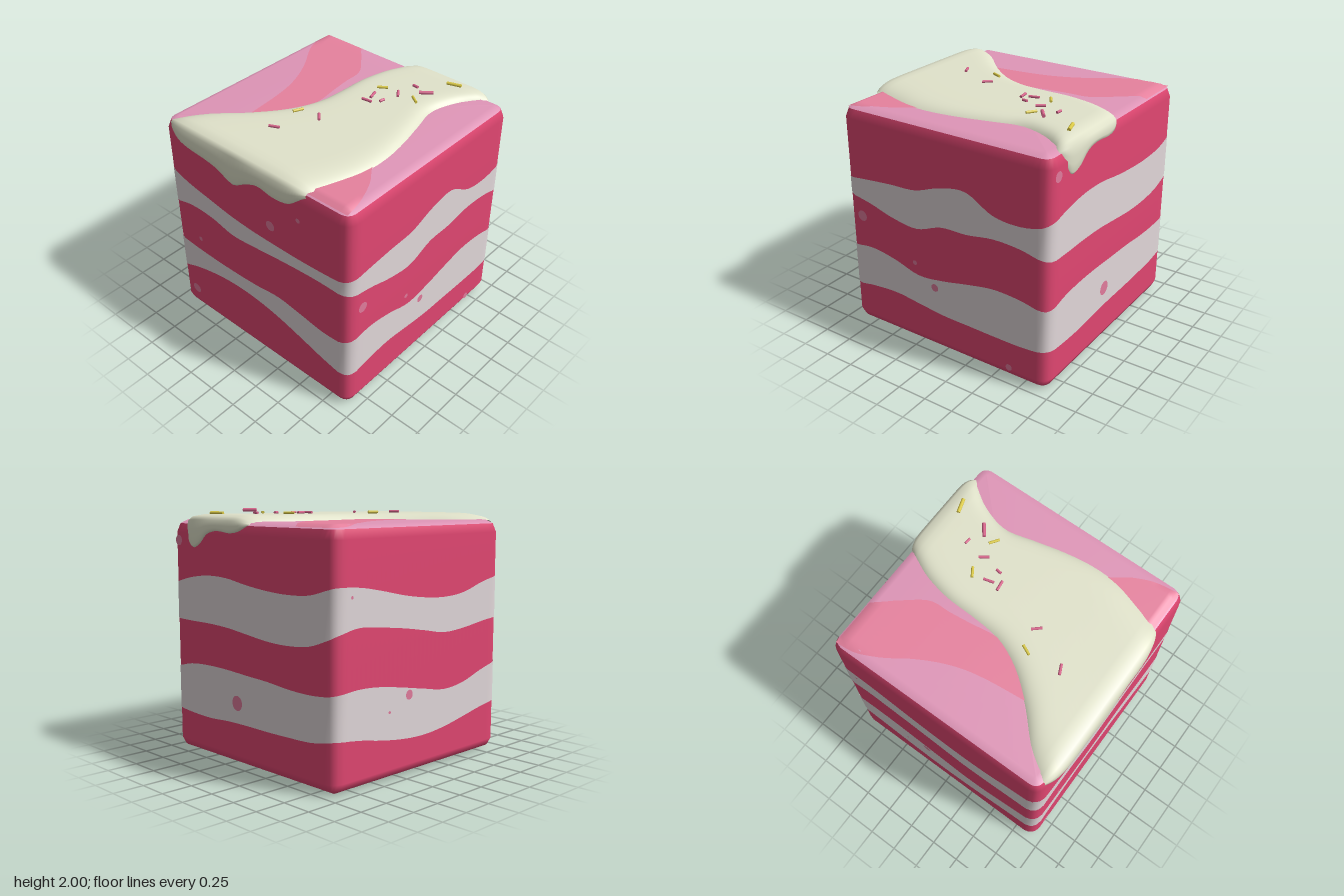
import * as THREE from 'three';
import { mergeVertices } from 'three/addons/utils/BufferGeometryUtils.js';

const H = 0.95, R = 0.1, N = 40; // half width, corner radius, samples per side

function material(name, color, side = THREE.FrontSide) {
  const m = new THREE.MeshStandardMaterial({ color, side });
  m.name = name;
  return m;
}

// Smooth function on 0..1 through evenly spaced values
function smooth(values) {
  const curve = new THREE.SplineCurve(values.map((v, i) => new THREE.Vector2(i, v)));
  return t => curve.getPoint(Math.min(1, Math.max(0, t))).y;
}

// Smooth surface from rows x cols of points; faces look along column x row
function grid(rows, cols, point) {
  const pos = [], index = [];
  for (let k = 0; k <= rows; k++) for (let i = 0; i <= cols; i++) {
    pos.push(...point(k, i));
    if (k < rows && i < cols) {
      const a = k * (cols + 1) + i, c = a + cols + 1;
      index.push(a, a + 1, c + 1, a, c + 1, c);
    }
  }
  let g = new THREE.BufferGeometry();
  g.setAttribute('position', new THREE.Float32BufferAttribute(pos, 3));
  g.setIndex(index);
  g = mergeVertices(g, 1e-5);
  g.computeVertexNormals();
  return g;
}

// Point on the rounded square outline, starting at the front -x corner
function outline(i, inset) {
  const face = Math.floor(i / N) % 4, u = ((i % N) / N * 2 - 1) * H;
  const [x, z] = [[u, H], [H, -u], [-u, -H], [-H, u]][face];
  const lim = H - R, cx = Math.max(-lim, Math.min(lim, x)), cz = Math.max(-lim, Math.min(lim, z));
  const l = Math.hypot(x - cx, z - cz), r = (R - inset) / l;
  return [cx + (x - cx) * r, cz + (z - cz) * r];
}

// Body rings from [inset, y]; a null inset is the centre
function loft(profile) {
  return grid(profile.length - 1, 4 * N, (k, i) => {
    const [inset, y] = profile[k];
    if (inset === null) return [0, y, 0];
    const [x, z] = outline(i, inset);
    return [x, y, z];
  });
}

// Band edges: eight heights per side, in the order front, +x, back, -x
const BANDS = [
  { name: 'upperCreamBand',
    low: [1.12, 1.17, 1.165, 1.115, 1.13, 1.155, 1.175, 1.185, 1.175, 1.135, 1.07, 1.045, 1.125, 1.135, 1.17, 1.16,
      1.11, 1.10, 1.10, 1.09, 1.065, 1.04, 1.035, 1.06, 1.14, 1.19, 1.17, 1.14, 1.10, 1.06, 1.07, 1.10],
    high: [1.46, 1.39, 1.345, 1.305, 1.285, 1.28, 1.28, 1.29, 1.31, 1.335, 1.355, 1.37, 1.45, 1.48, 1.36, 1.34,
      1.39, 1.45, 1.48, 1.475, 1.44, 1.415, 1.405, 1.42, 1.48, 1.475, 1.435, 1.385, 1.35, 1.335, 1.355, 1.42] },
  { name: 'lowerCreamBand',
    low: [0.42, 0.50, 0.555, 0.58, 0.57, 0.53, 0.465, 0.395, 0.35, 0.38, 0.395, 0.37, 0.345, 0.34, 0.335, 0.335,
      0.35, 0.335, 0.33, 0.345, 0.35, 0.35, 0.355, 0.365, 0.40, 0.38, 0.335, 0.30, 0.287, 0.305, 0.345, 0.39],
    high: [0.75, 0.73, 0.72, 0.72, 0.73, 0.755, 0.725, 0.69, 0.705, 0.735, 0.70, 0.635, 0.66, 0.71, 0.75, 0.74,
      0.70, 0.745, 0.76, 0.757, 0.745, 0.735, 0.715, 0.71, 0.73, 0.75, 0.735, 0.695, 0.65, 0.61, 0.63, 0.70] },
];

// Crumb dots per side: [across, y, radius]
const DOTS = [
  [[0.195, 1.445, 0.043], [0.48, 1.645, 0.02], [-0.64, 0.855, 0.02], [-0.775, 0.225, 0.045]],
  [[-0.795, 1.0, 0.045], [-0.27, 0.74, 0.02], [-0.08, 0.575, 0.033], [0.615, 0.11, 0.028]],
  [[-0.85, 1.745, 0.042], [-0.12, 0.51, 0.06]],
  [[-0.167, 0.63, 0.038], [-0.776, 1.41, 0.012], [-0.384, 0.53, 0.012]],
];

// Painted wave on the top, between two x curves, from the front edge to the back edge
function topWave(zFront, zBack, left, right) {
  const l = smooth(left), r = smooth(right);
  return grid(30, 12, (k, i) => {
    const t = k / 30, z = zFront + (zBack - zFront) * t;
    const x = THREE.MathUtils.lerp(l(t), r(t), i / 12);
    const over = Math.max(0, Math.max(Math.abs(x), Math.abs(z)) - 0.86);
    return [x, 1.914 - over * 0.5, z];
  });
}

// Icing sheet over the top with a drip at both ends
function icingGeometry() {
  const left = smooth([-0.005, -0.105, -0.157, -0.168, -0.195, -0.30, -0.49, -0.73, -0.86]);
  const right = smooth([0.78, 0.635, 0.565, 0.615, 0.67, 0.703, 0.693, 0.625, 0.545]);
  const frontDrip = smooth([1.84, 1.785, 1.762, 1.75, 1.72, 1.658, 1.73, 1.778, 1.752, 1.765, 1.86]);
  const backDrip = smooth([1.88, 1.835, 1.82, 1.83, 1.83, 1.80, 1.72, 1.70, 1.82]);

  // Rows as { z, y or hang fraction, outward direction }
  const end = (sign, out) => [
    { z: sign * (out - 0.06), hang: 1, ny: 0, nz: sign },
    ...[1, 0.9, 0.6, 0.3].map(hang => ({ z: sign * (hang === 1 ? out - 0.015 : out), hang, ny: 0, nz: sign })),
    { z: sign * (out - 0.008), y: 1.915, ny: 0.5, nz: sign * 0.87 },
    { z: sign * (out - 0.04), y: 1.945, ny: 0.8, nz: sign * 0.6 },
  ];
  const rows = end(1, 0.977);
  for (let k = 0; k <= 28; k++) rows.push({ z: 0.87 - 1.74 * k / 28, y: 1.96, ny: 1, nz: 0 });
  rows.push(...end(-1, 0.982).reverse());

  const cols = 48;
  return grid(rows.length - 1, cols, (k, i) => {
    const { z, y, hang, ny, nz } = rows[k];
    const s = 0.5 - 0.5 * Math.cos(Math.PI * i / cols), t = (z + H) / (2 * H);
    const sink = 0.055 * Math.abs(2 * s - 1) ** 8;
    const drip = hang && (z > 0 ? frontDrip(s) : backDrip(s));
    const py = hang ? THREE.MathUtils.lerp(1.895, drip, hang) : y;
    const edge = hang ? Math.sign(z) * 0.5 + 0.5 : t;
    return [THREE.MathUtils.lerp(left(edge), right(edge), s), py - sink * ny, z - sink * nz];
  });
}

// [x, z, length, angle in degrees, is yellow, y, radius]
const SPRINKLES = [
  [0.50, -0.845, 0.12, 18, 1, 1.965, 0.015], [0.43, -0.57, 0.11, 38, 0, 1.987, 0.014],
  [0.29, -0.62, 0.05, -5, 0], [0.105, -0.435, 0.085, 33, 1], [0.255, -0.44, 0.08, -55, 0],
  [0.405, -0.455, 0.085, -35, 1], [0.12, -0.295, 0.085, -75, 0], [0.225, -0.28, 0.045, 80, 0],
  [0.135, -0.205, 0.085, 8, 0], [-0.16, 0.25, 0.085, 65, 1], [0.02, 0.215, 0.085, -48, 0],
  [-0.135, 0.535, 0.085, 25, 0],
];

export function createModel() {
  const model = new THREE.Group();
  const cake = new THREE.Group();
  cake.name = 'cake';
  cake.position.z = -0.015;
  model.add(cake);

  const sponge = material('sponge red', 0xe24772);
  const cream = material('cream band', 0xe2d8da, THREE.DoubleSide);
  const topPink = material('top pink', 0xe096b8);
  const wavePink = material('wave pink', 0xe8829f, THREE.DoubleSide);
  const dotPink = material('dot pink', 0xe27c9d, THREE.DoubleSide);
  const icing = material('icing', 0xe1e3cb, THREE.DoubleSide);
  const sprinklePink = material('sprinkle pink', 0xd8668c);
  const sprinkleYellow = material('sprinkle yellow', 0xdccb48);

  const add = (parent, name, geometry, mat) => {
    const mesh = new THREE.Mesh(geometry, mat);
    mesh.name = name;
    parent.add(mesh);
    return mesh;
  };

  // Sponge block and its top
  add(cake, 'sponge', loft([[null, 0], [0.09, 0], [0.03, 0.03], [0, 0.09], [0, 1.81], [0.028, 1.88]]), sponge);
  add(cake, 'spongeTop', loft([[0.028, 1.88], [0.09, 1.91], [null, 1.91]]), topPink);

  // Wavy cream bands
  for (const { name, low, high } of BANDS) {
    const edges = [low, high].map(v => smooth([...v, v[0]]));
    add(cake, name, grid(1, 4 * N, (k, i) => {
      const [x, z] = outline(i, -0.003);
      return [x, edges[k](i / (4 * N)), z];
    }), cream);
  }

  // Crumb dots
  DOTS.forEach((dots, face) => {
    const side = new THREE.Group();
    side.name = 'crumbDots';
    side.rotation.y = face * Math.PI / 2;
    cake.add(side);
    for (const [u, y, r] of dots)
      add(side, 'crumbDot', new THREE.CircleGeometry(r, 24), dotPink).position.set(u, y, H + 0.006);
  });

  // Painted waves on the top
  add(cake, 'topWaveLeft', topWave(0.52, -0.91,
    [-0.46, -0.475, -0.495, -0.53, -0.595, -0.69, -0.81, -0.89, -0.91],
    [-0.45, -0.3, -0.2, -0.19, -0.215, -0.235, -0.25, -0.38, -0.52]), wavePink);
  add(cake, 'topWaveRight', topWave(0.91, 0.38, [0.5, 0.57, 0.63, 0.63], [0.9, 0.87, 0.795, 0.68]), wavePink);

  add(model, 'icing', icingGeometry(), icing);

  // Sprinkles
  for (const [x, z, length, angle, yellow, y = 1.968, r = 0.011] of SPRINKLES) {
    const g = new THREE.CylinderGeometry(r, r, length, 8).rotateZ(Math.PI / 2);
    const mesh = add(model, 'sprinkle', g, yellow ? sprinkleYellow : sprinklePink);
    mesh.position.set(x, y, z);
    mesh.rotation.y = THREE.MathUtils.degToRad(angle);
  }
  return model;
}
